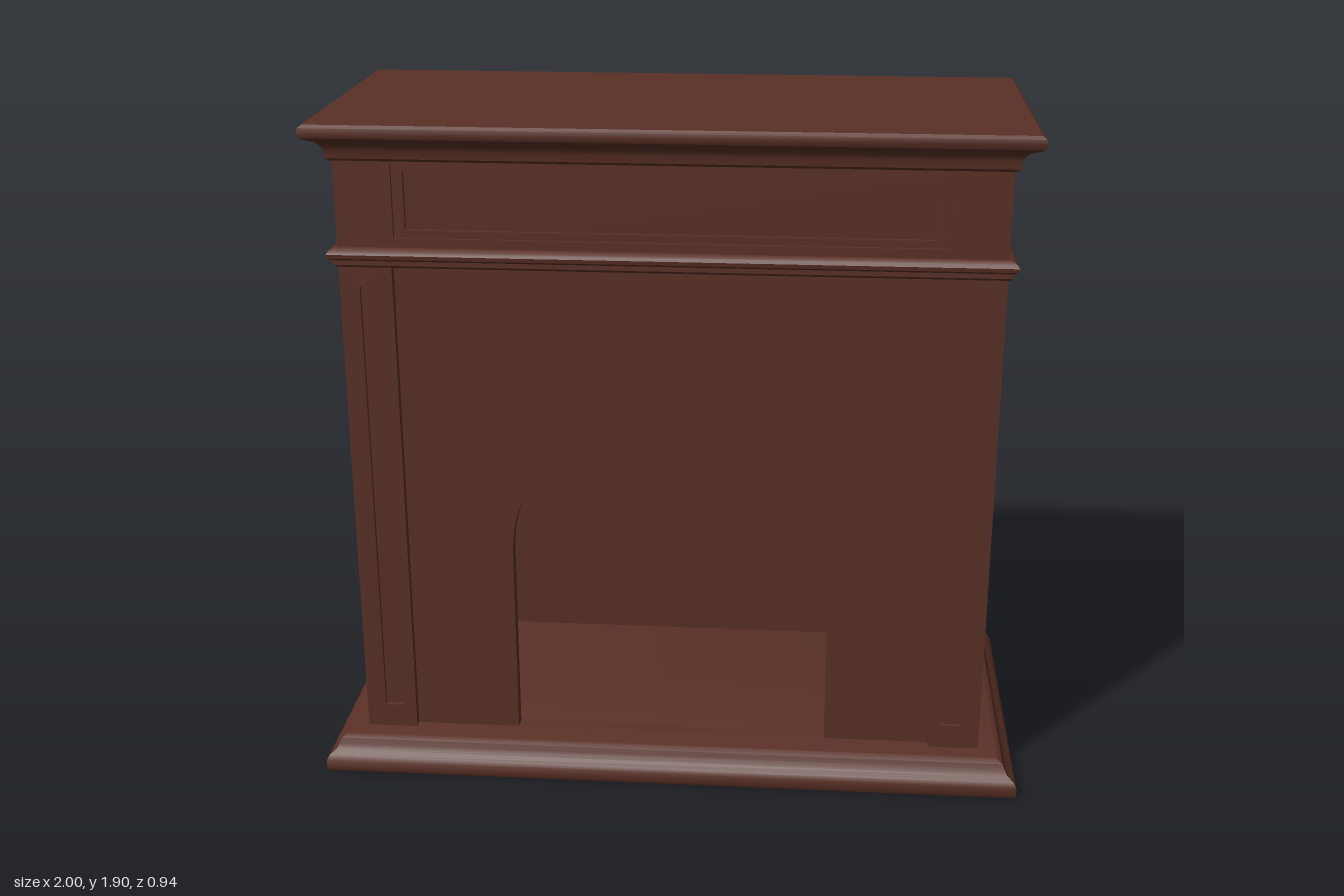
import * as THREE from 'three';
import { toCreasedNormals } from 'three/addons/utils/BufferGeometryUtils.js';

// Main carcass extents
const HALF = 0.895, FRONT = 0.365, BACK = -0.44;

export function createModel() {
  const group = new THREE.Group();
  const wood = new THREE.MeshStandardMaterial({ color: 0x5a3026 });
  wood.name = 'reddish brown wood';

  const add = (name, geometry, x = 0, y = 0, z = 0) => {
    const mesh = new THREE.Mesh(geometry, wood);
    mesh.name = name;
    mesh.position.set(x, y, z);
    group.add(mesh);
    return mesh;
  };

  // Box given by its limits on each axis
  const block = (name, x0, x1, y0, y1, z0, z1) =>
    add(name, new THREE.BoxGeometry(x1 - x0, y1 - y0, z1 - z0),
      (x0 + x1) / 2, (y0 + y1) / 2, (z0 + z1) / 2);

  const rect = (Type, x0, x1, y0, y1) => {
    const s = new Type();
    s.moveTo(x0, y0);
    s.lineTo(x1, y0);
    s.lineTo(x1, y1);
    s.lineTo(x0, y1);
    s.closePath();
    return s;
  };

  // Flat frame with a rectangular opening
  const frame = (name, outer, inner, z0, z1) => {
    const s = rect(THREE.Shape, ...outer);
    s.holes.push(rect(THREE.Path, ...inner));
    add(name, new THREE.ExtrudeGeometry(s, { depth: z1 - z0, bevelEnabled: false }), 0, 0, z0);
  };

  // Moulding: a stack of rectangles; profile is [overhang, y] from bottom to top
  const moulding = (name, profile, backShare) => {
    const pos = [];
    const rings = profile.map(([o, y]) => {
      const x = HALF + o, f = FRONT + o, b = BACK - o * backShare;
      return [[-x, y, f], [x, y, f], [x, y, b], [-x, y, b]];
    });
    const quad = (a, b, c, d) => pos.push(...a, ...b, ...c, ...a, ...c, ...d);
    for (let i = 0; i < rings.length - 1; i++) {
      for (let k = 0; k < 4; k++) {
        const n = (k + 1) % 4;
        quad(rings[i][k], rings[i][n], rings[i + 1][n], rings[i + 1][k]);
      }
    }
    const top = rings[rings.length - 1], low = rings[0];
    quad(top[0], top[1], top[2], top[3]);
    quad(low[3], low[2], low[1], low[0]);
    const g = new THREE.BufferGeometry();
    g.setAttribute('position', new THREE.Float32BufferAttribute(pos, 3));
    g.computeVertexNormals();
    add(name, toCreasedNormals(g, 0.6));
  };

  // Stepped plinth, waist moulding and cornice
  moulding('plinth', [[0.1, 0], [0.105, 0.01], [0.105, 0.035], [0.097, 0.05], [0.08, 0.06],
    [0.072, 0.075], [0.066, 0.09], [0.05, 0.1]], 0.28);
  moulding('waistMoulding', [[0.004, 1.505], [0.012, 1.512], [0.012, 1.525], [0.024, 1.532],
    [0.026, 1.543], [0.02, 1.552], [0.004, 1.56]], 0);
  moulding('cornice', [[0.004, 1.795], [0.014, 1.803], [0.016, 1.825], [0.022, 1.838],
    [0.034, 1.85], [0.054, 1.858], [0.065, 1.865], [0.07, 1.878], [0.067, 1.892],
    [0.058, 1.9]], 0.05);

  // Hollow carcass around the firebox
  block('backWall', -HALF, HALF, 0.09, 1.53, BACK, -0.34);
  for (const s of [-1, 1]) {
    const side = s < 0 ? 'right' : 'left';
    const span = (a, b) => (s < 0 ? [-b, -a] : [a, b]);
    block(side + 'Wall', ...span(0.83, HALF), 0.09, 1.53, -0.34, 0.3);
    // Pilaster: sunken backing with a raised frame
    block(side + 'PilasterPanel', ...span(0.75, HALF), 0.09, 1.53, 0.3, 0.352);
    frame(side + 'PilasterFrame', [...span(0.75, HALF), 0.09, 1.53],
      [...span(0.785, 0.84), 0.17, 1.45], 0.352, FRONT);
  }

  // Front panel with round-headed opening
  const panel = rect(THREE.Shape, -0.75, 0.75, 0.09, 1.53);
  const arch = new THREE.Path();
  arch.moveTo(-0.45, 0.1);
  arch.lineTo(0.45, 0.1);
  arch.lineTo(0.45, 0.66);
  arch.absarc(0, 0.66, 0.45, 0, Math.PI, false);
  arch.lineTo(-0.45, 0.1);
  panel.holes.push(arch);
  const panelGeometry = new THREE.ExtrudeGeometry(panel,
    { depth: 0.04, bevelEnabled: false, curveSegments: 40 });
  add('archedFrontPanel', toCreasedNormals(panelGeometry, 0.5), 0, 0, 0.3);

  // Frieze with a stepped sunken panel
  block('frieze', -HALF, HALF, 1.51, 1.81, BACK, 0.34);
  frame('friezeFrame', [-HALF, HALF, 1.51, 1.81], [-0.74, 0.74, 1.585, 1.785], 0.34, FRONT);
  frame('friezePanelTrim', [-0.74, 0.74, 1.585, 1.785], [-0.71, 0.71, 1.605, 1.765], 0.34, 0.354);

  return group;
}
